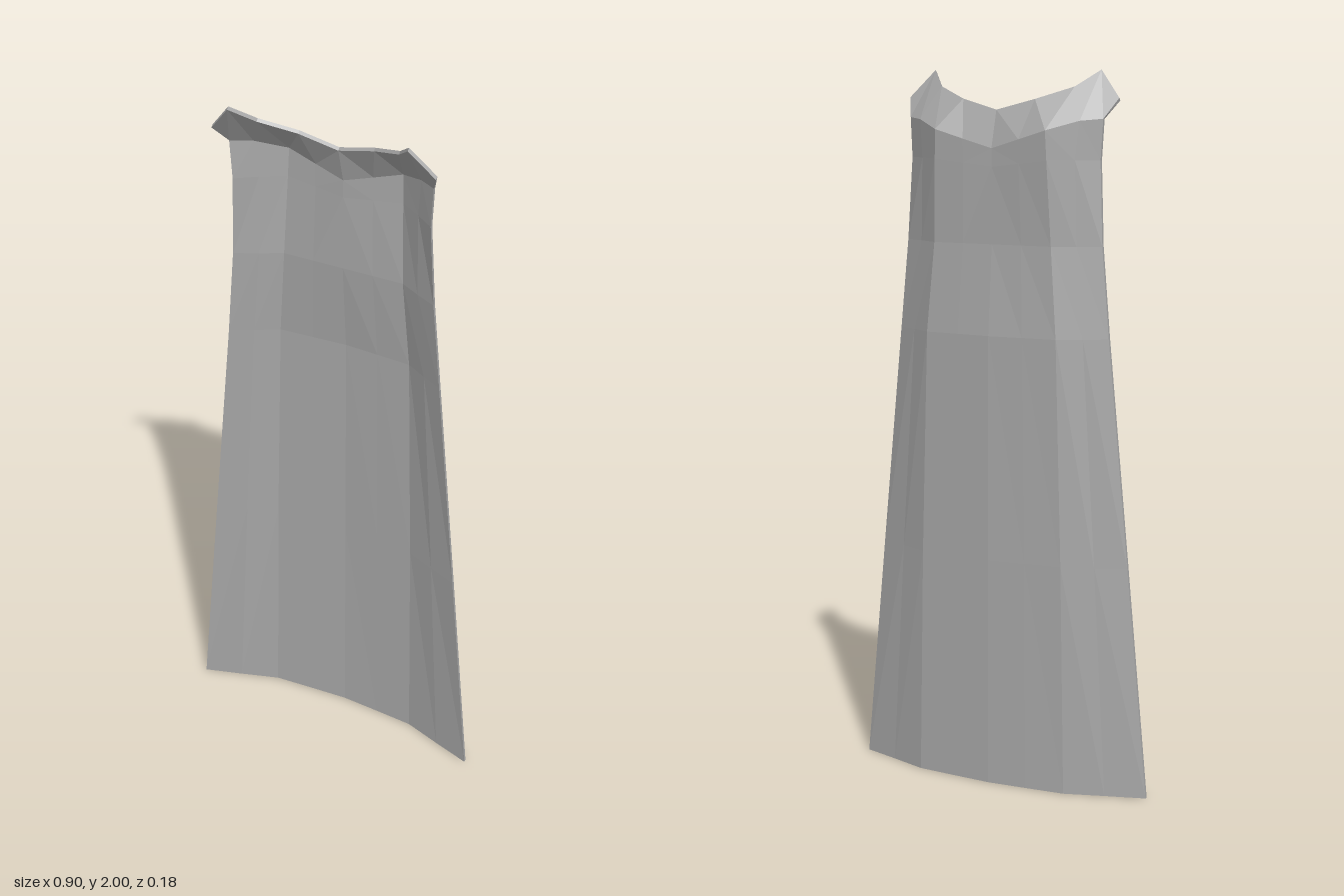
import * as THREE from 'three';

// Half cross-sections from the centre line to the +x edge: [x, y, z]
const sections = [
  [[0, 0, -0.09], [0.115, 0, -0.083], [0.23, 0, -0.075], [0.34, 0, -0.038], [0.45, 0, -0.003]],
  [[0, 0.65, -0.089], [0.109, 0.65, -0.082], [0.218, 0.65, -0.075], [0.303, 0.65, -0.038], [0.387, 0.65, -0.003]],
  [[0, 1.28, -0.087], [0.1, 1.28, -0.081], [0.2, 1.28, -0.075], [0.263, 1.28, -0.037], [0.325, 1.28, -0.003]],
  [[0, 1.53, -0.066], [0.09, 1.53, -0.066], [0.18, 1.53, -0.066], [0.24, 1.53, -0.032], [0.302, 1.53, 0]],
  [[0, 1.74, -0.067], [0.085, 1.75, -0.072], [0.171, 1.76, -0.077], [0.235, 1.76, -0.034], [0.291, 1.76, 0.008]],
  // fold where the collar starts
  [[0, 1.79, -0.067], [0.085, 1.815, -0.074], [0.168, 1.84, -0.08], [0.245, 1.865, -0.027], [0.297, 1.87, 0.01]],
  // neckline and shoulder tips
  [[0, 1.893, -0.038], [0.11, 1.922, -0.024], [0.205, 1.955, 0.025], [0.257, 2.0, 0.083], [0.323, 1.925, 0.055]],
];

// Closed cloth shell: outer sheet, inner sheet and a rim joining them
function clothGeometry(rows) {
  const nr = rows.length, nc = rows[0].length, inner = nr * nc;
  const pos = [], idx = [];
  rows.forEach(row => row.forEach(p => pos.push(...p)));
  rows.forEach((row, r) => row.forEach(([x, y, z]) => {
    const top = r === nr - 1;
    pos.push(x, y - (top ? 0.007 : 0), z + (top ? 0.007 : 0.009));
  }));
  const at = (r, c) => r * nc + c;

  for (let r = 0; r < nr - 1; r++) {
    for (let c = 0; c < nc - 1; c++) {
      const a = at(r, c), b = at(r, c + 1), d = at(r + 1, c), e = at(r + 1, c + 1);
      // mirror the diagonals about the centre line
      const tris = c < (nc - 1) / 2 ? [[a, b, e], [a, e, d]] : [[a, b, d], [b, e, d]];
      for (const [i, j, k] of tris) {
        idx.push(i, k, j);
        idx.push(i + inner, j + inner, k + inner);
      }
    }
  }

  // outline, anticlockwise from the front
  const loop = [];
  for (let c = 0; c < nc - 1; c++) loop.push(at(0, c));
  for (let r = 0; r < nr - 1; r++) loop.push(at(r, nc - 1));
  for (let c = nc - 1; c > 0; c--) loop.push(at(nr - 1, c));
  for (let r = nr - 1; r > 0; r--) loop.push(at(r, 0));
  loop.forEach((p, i) => {
    const q = loop[(i + 1) % loop.length];
    idx.push(p + inner, p, q, p + inner, q, q + inner);
  });

  const indexed = new THREE.BufferGeometry();
  indexed.setAttribute('position', new THREE.Float32BufferAttribute(pos, 3));
  indexed.setIndex(idx);
  const geometry = indexed.toNonIndexed();
  geometry.computeVertexNormals(); // flat facets
  return geometry;
}

export function createModel() {
  const group = new THREE.Group();
  group.name = 'cape';
  const cloth = new THREE.MeshStandardMaterial({ color: 0xa8a8a8 });
  cloth.name = 'grey cloth';

  // full rows: mirrored half followed by the half itself
  const rows = sections.map(half => [
    ...half.slice(1).reverse().map(([x, y, z]) => [-x, y, z]),
    ...half,
  ]);

  const drape = new THREE.Mesh(clothGeometry(rows), cloth);
  drape.name = 'capeCloth';
  group.add(drape);
  return group;
}
